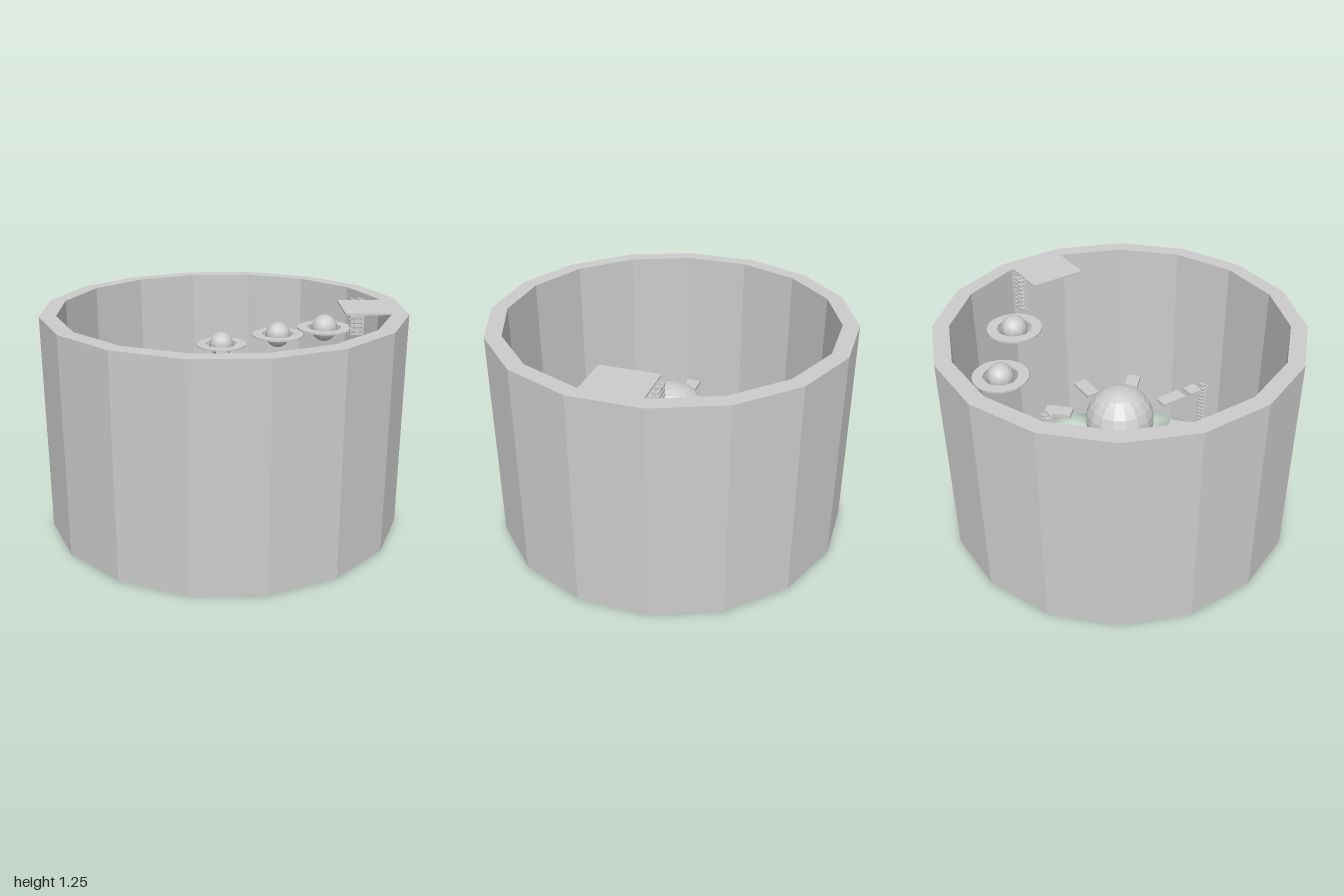
import * as THREE from 'three';
import { mergeGeometries } from 'three/addons/utils/BufferGeometryUtils.js';

const stone = new THREE.MeshStandardMaterial({ color: 0xcccccc });
stone.name = 'pale grey';
const stoneFlat = stone;

function add(parent, name, geometry, x = 0, y = 0, z = 0) {
  const mesh = new THREE.Mesh(geometry, stone);
  mesh.name = name;
  mesh.position.set(x, y, z);
  parent.add(mesh);
  return mesh;
}

// Flat ring with straight walls, extruded upward from y = 0
function ringGeometry(outer, inner, sides, height) {
  const corners = (r) => Array.from({ length: sides }, (_, i) => {
    const a = ((i + 0.5) / sides) * Math.PI * 2;
    return new THREE.Vector2(r * Math.cos(a), r * Math.sin(a));
  });
  const shape = new THREE.Shape(corners(outer));
  shape.holes.push(new THREE.Path(corners(inner)));
  const geometry = new THREE.ExtrudeGeometry(shape, { depth: height, bevelEnabled: false });
  return geometry.rotateX(-Math.PI / 2);
}

// Square spiral stair: four short bars per turn around an open well
function stairGeometry(height) {
  const pitch = 0.026, width = 0.04, bar = 0.009;
  const count = Math.floor((height / pitch) * 4);
  const bars = [];
  for (let i = 0; i < count; i++) {
    const g = new THREE.BoxGeometry(width, 0.012, bar);
    g.translate(0, 0, (width - bar) / 2);
    g.rotateY((i % 4) * Math.PI / 2);
    g.translate(0, ((i + 0.5) / count) * height, 0);
    bars.push(g);
  }
  return mergeGeometries(bars);
}

function facetedSphere(radius, across, down) {
  const g = new THREE.SphereGeometry(radius, across, down).toNonIndexed();
  g.computeVertexNormals();
  return g;
}

export function createModel() {
  const model = new THREE.Group();
  model.name = 'roundTower';

  // Sixteen-sided wall, open above and below
  const k = 1 / Math.cos(Math.PI / 16);
  add(model, 'outerWall', ringGeometry(k, 0.91 * k, 16, 1.24));

  // Entrance and exit landings
  add(model, 'lowerLanding', new THREE.BoxGeometry(0.33, 0.01, 0.25), 0, 0.005, 0.785);
  add(model, 'upperLanding', new THREE.BoxGeometry(0.25, 0.01, 0.33), 0.785, 1.235, 0);

  // Central globe with a circle of stepping slabs
  add(model, 'centralGlobe', facetedSphere(0.2, 16, 12), 0, 0.62, 0);
  const slabs = new THREE.Group();
  slabs.name = 'steppingSlabs';
  model.add(slabs);
  for (let i = 0; i < 8; i++) {
    const a = (i * Math.PI) / 4;
    const slab = add(slabs, 'steppingSlab', new THREE.BoxGeometry(0.08, 0.02, 0.16),
      0.37 * Math.sin(a), 0.61, 0.37 * Math.cos(a));
    slab.rotation.y = a;
  }
  add(slabs, 'squareSlab', new THREE.BoxGeometry(0.08, 0.02, 0.08), 0, 0.61, 0.53);

  // Floating ringed globes climbing toward the upper landing
  for (const [x, y, z] of [[0, 0.825, -0.705], [0.355, 0.925, -0.57], [0.615, 1.03, -0.335]]) {
    const planet = new THREE.Group();
    planet.name = 'ringedGlobe';
    planet.position.set(x, y, z);
    add(planet, 'globe', new THREE.SphereGeometry(0.08, 10, 10));
    add(planet, 'ring', ringGeometry(0.162, 0.1, 24, 0.01), 0, -0.005, 0);
    model.add(planet);
  }

  // Spiral stairs: one long, two short pairs
  add(model, 'longStair', stairGeometry(0.62), 0, 0, 0.62);
  for (const side of [-1, 1]) {
    add(model, 'middleStair', stairGeometry(0.22), side * 0.02, 0.62, -0.48);
    add(model, 'upperStair', stairGeometry(0.21), 0.785 + side * 0.02, 1.03, -0.19);
  }
  return model;
}
